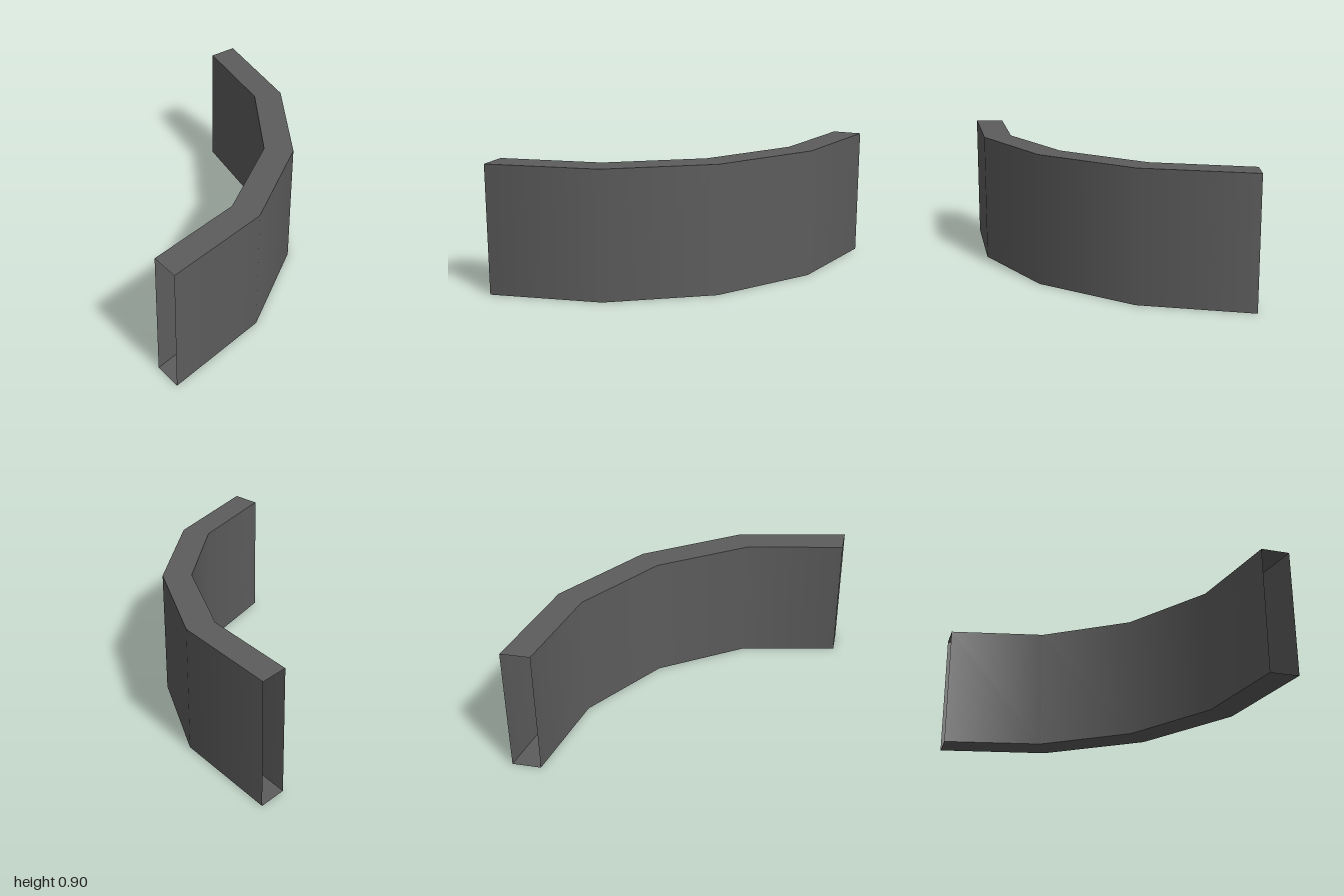
import * as THREE from 'three';

// Quarter-circle wall, four segments, hollow with open ends
const OUTER = 2, INNER = 1.8, HEIGHT = 0.9, SEGMENTS = 4, QUARTER = Math.PI / 2;

export function createModel() {
  const group = new THREE.Group();
  group.name = 'curvedWall';
  const darkGrey = new THREE.MeshStandardMaterial({ color: 0x5c5c5c, side: THREE.DoubleSide });
  darkGrey.name = 'darkGrey';

  // The arc's centre lies at the front left corner of the footprint
  const add = (name, geometry, y) => {
    const mesh = new THREE.Mesh(geometry, darkGrey);
    mesh.name = name;
    mesh.position.set(-1, y, 1);
    group.add(mesh);
  };

  // Smoothly shaded upright faces
  const side = (radius) =>
    new THREE.CylinderGeometry(radius, radius, HEIGHT, SEGMENTS, 1, true, QUARTER, QUARTER);
  add('outerFace', side(OUTER), HEIGHT / 2);
  add('innerFace', side(INNER), HEIGHT / 2);

  // Flat top and bottom strips
  const strip = (start, tilt) =>
    new THREE.RingGeometry(INNER, OUTER, SEGMENTS, 1, start, QUARTER).rotateX(tilt);
  add('topFace', strip(0, -QUARTER), HEIGHT);
  add('bottomFace', strip(-QUARTER, QUARTER), 0);

  return group;
}
